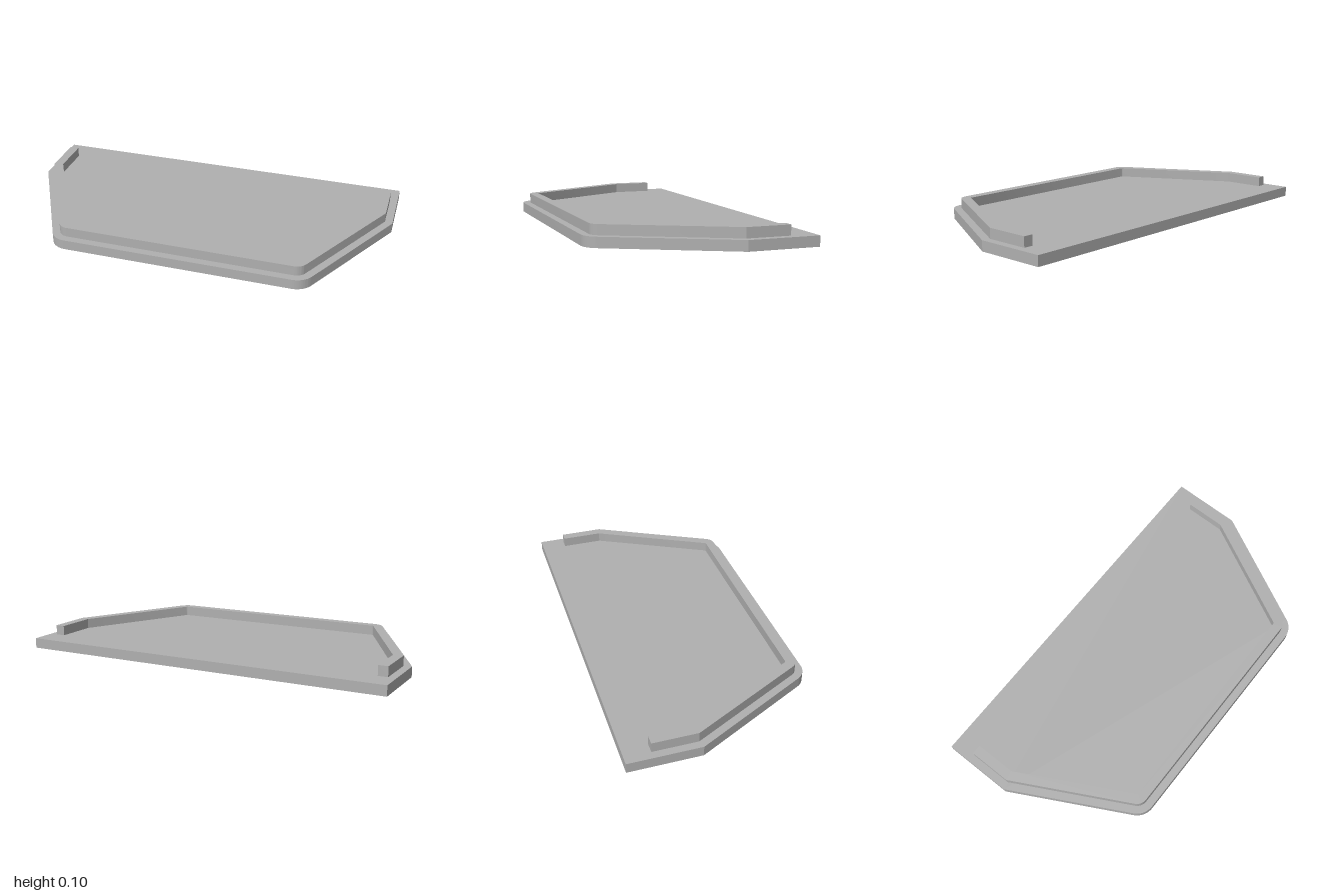
import * as THREE from 'three';
import { toCreasedNormals } from 'three/addons/utils/BufferGeometryUtils.js';

const FRONT_ANGLE = 0.479; // direction the slanted sides face, from +x
const ARC_X = 0.596, ARC_Z = 0.413, ARC_R = 0.1; // shared centre of the front corners

// Traces the outline, inset by d, from back edge to back edge around the front.
function trace(shape, d, backZ, reverse = false) {
  const s = reverse ? -1 : 1;
  const x = s * (1 - d), z = -0.145 - d * 0.245, r = ARC_R - d;
  const start = reverse ? Math.PI - FRONT_ANGLE : FRONT_ANGLE;
  shape.lineTo(x, backZ);
  shape.lineTo(x, z);
  shape.absarc(s * ARC_X, ARC_Z, r, start, Math.PI / 2, reverse);
  shape.absarc(-s * ARC_X, ARC_Z, r, Math.PI / 2, Math.PI - start, reverse);
  shape.lineTo(-x, z);
  shape.lineTo(-x, backZ);
}

// Stands a floor-plan shape between two heights.
function slab(shape, bottom, top, material, name) {
  const geometry = new THREE.ExtrudeGeometry(shape, { depth: top - bottom, bevelEnabled: false, curveSegments: 10 });
  geometry.rotateX(Math.PI / 2).translate(0, top, 0);
  const mesh = new THREE.Mesh(toCreasedNormals(geometry, 0.3), material);
  mesh.name = name;
  return mesh;
}

export function createModel() {
  const grey = new THREE.MeshStandardMaterial({ color: 0xb0b0b0 });
  grey.name = 'grey';
  const group = new THREE.Group();
  group.name = 'lippedCover';

  // Base plate with slanted sides and rounded front corners
  const plate = new THREE.Shape();
  plate.moveTo(1, -0.513);
  trace(plate, 0, -0.513);
  plate.closePath();
  group.add(slab(plate, 0, 0.053, grey, 'basePlate'));

  // Raised lip following the outline, open at the back
  const lip = new THREE.Shape();
  lip.moveTo(0.96, -0.383);
  trace(lip, 0.04, -0.383);
  trace(lip, 0.09, -0.383, true);
  lip.closePath();
  group.add(slab(lip, 0.053, 0.105, grey, 'raisedLip'));

  return group;
}
